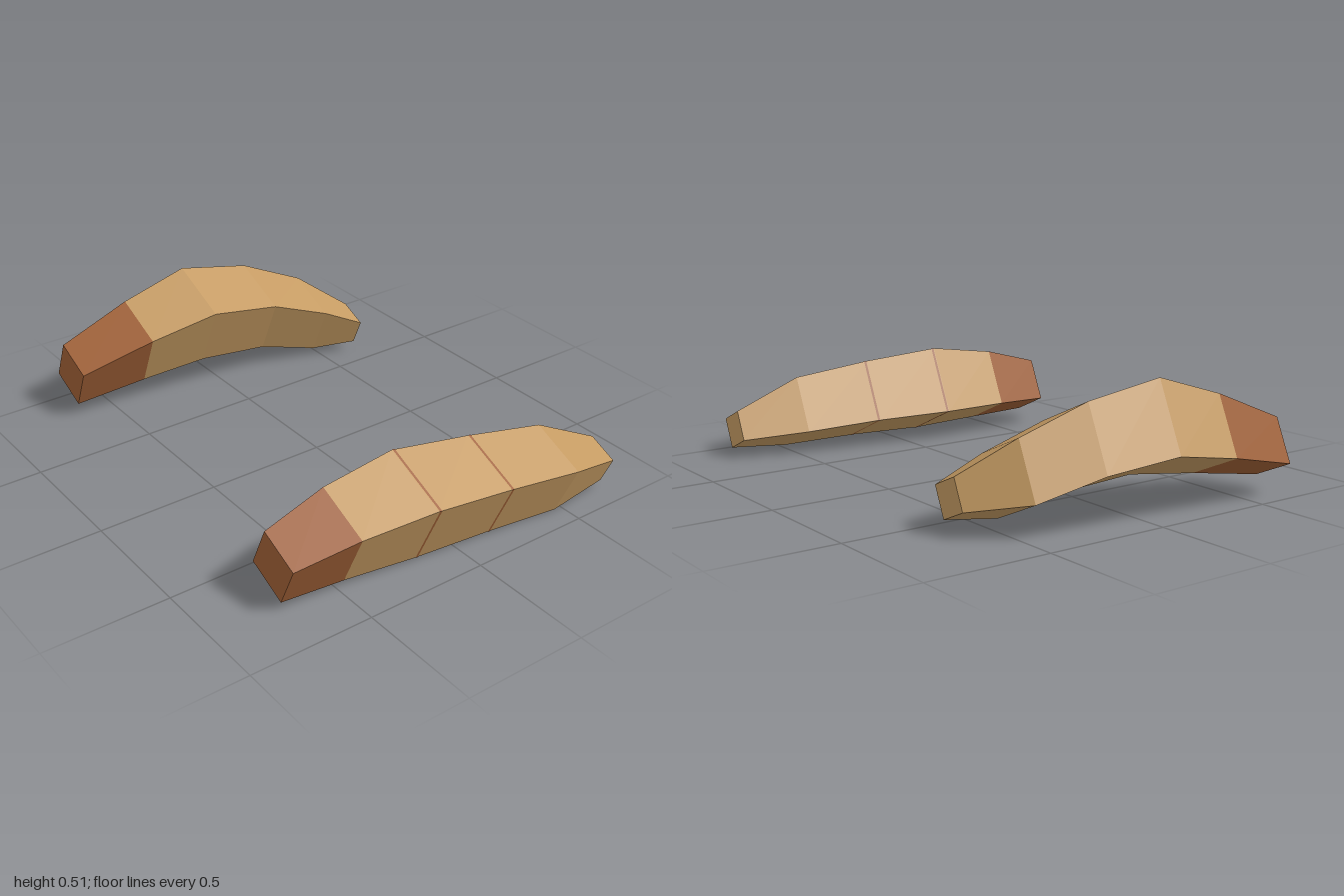
import * as THREE from 'three';

const TILT = THREE.MathUtils.degToRad(-24);

// Corners of a tilted square section [x, y, z, side], counter-clockwise from the front
function corners([x, y, z, side]) {
  const h = side / 2, c = Math.cos(TILT), s = Math.sin(TILT);
  return [[-h, -h], [h, -h], [h, h], [-h, h]].map(([a, b]) => [x + a * c - b * s, y + a * s + b * c, z]);
}

// Flat-faced skin through sections listed from front to back
function loft(sections, capFront, capBack) {
  const rings = sections.map(corners), p = [];
  const quad = (a, b, c, d) => p.push(...a, ...b, ...c, ...a, ...c, ...d);
  for (let k = 0; k < rings.length - 1; k++) {
    const f = rings[k], b = rings[k + 1];
    for (let i = 0; i < 4; i++) {
      const j = (i + 1) % 4;
      quad(f[i], b[i], b[j], f[j]);
    }
  }
  if (capFront) quad(...rings[0]);
  if (capBack) quad(...rings[rings.length - 1].slice().reverse());
  const g = new THREE.BufferGeometry();
  g.setAttribute('position', new THREE.Float32BufferAttribute(p, 3));
  g.computeVertexNormals();
  return g;
}

export function createModel() {
  const tan = new THREE.MeshStandardMaterial({ color: 0xc49a62 });
  tan.name = 'tan';
  const brown = new THREE.MeshStandardMaterial({ color: 0x9f6036 });
  brown.name = 'brown';

  const add = (parent, name, geometry, material) => {
    const mesh = new THREE.Mesh(geometry, material);
    mesh.name = name;
    parent.add(mesh);
  };

  // Curved, tapering piece: brown front tip and tan body
  function curvedPiece(name, sections) {
    const g = new THREE.Group();
    g.name = name;
    add(g, 'tip', loft(sections.slice(0, 2), true, false), brown);
    add(g, 'body', loft(sections.slice(1), false, true), tan);
    return g;
  }

  const left = [
    [0.742, 0.16, 0.73, 0.185], [0.742, 0.189, 0.47, 0.247], [0.758, 0.202, 0.17, 0.293],
    [0.8, 0.187, -0.15, 0.268], [0.84, 0.16, -0.47, 0.241], [0.855, 0.112, -0.73, 0.128],
  ];
  const right = [
    [-0.862, 0.175, 0.66, 0.184], [-0.835, 0.257, 0.36, 0.246], [-0.807, 0.315, 0.08, 0.29],
    [-0.78, 0.275, -0.22, 0.267], [-0.725, 0.19, -0.47, 0.235], [-0.628, 0.128, -0.65, 0.126],
  ];

  const model = new THREE.Group();
  const leftPiece = curvedPiece('leftPiece', left);
  model.add(leftPiece, curvedPiece('rightPiece', right));

  // Hairline bands just behind two of the left piece's section lines
  for (const k of [2, 3]) {
    const at = (t) => left[k].map((v, i) => v + (left[k + 1][i] - v) * t + (i === 3 ? 0.002 : 0));
    add(leftPiece, 'band', loft([at(0.01), at(0.04)], false, false), brown);
  }
  return model;
}
